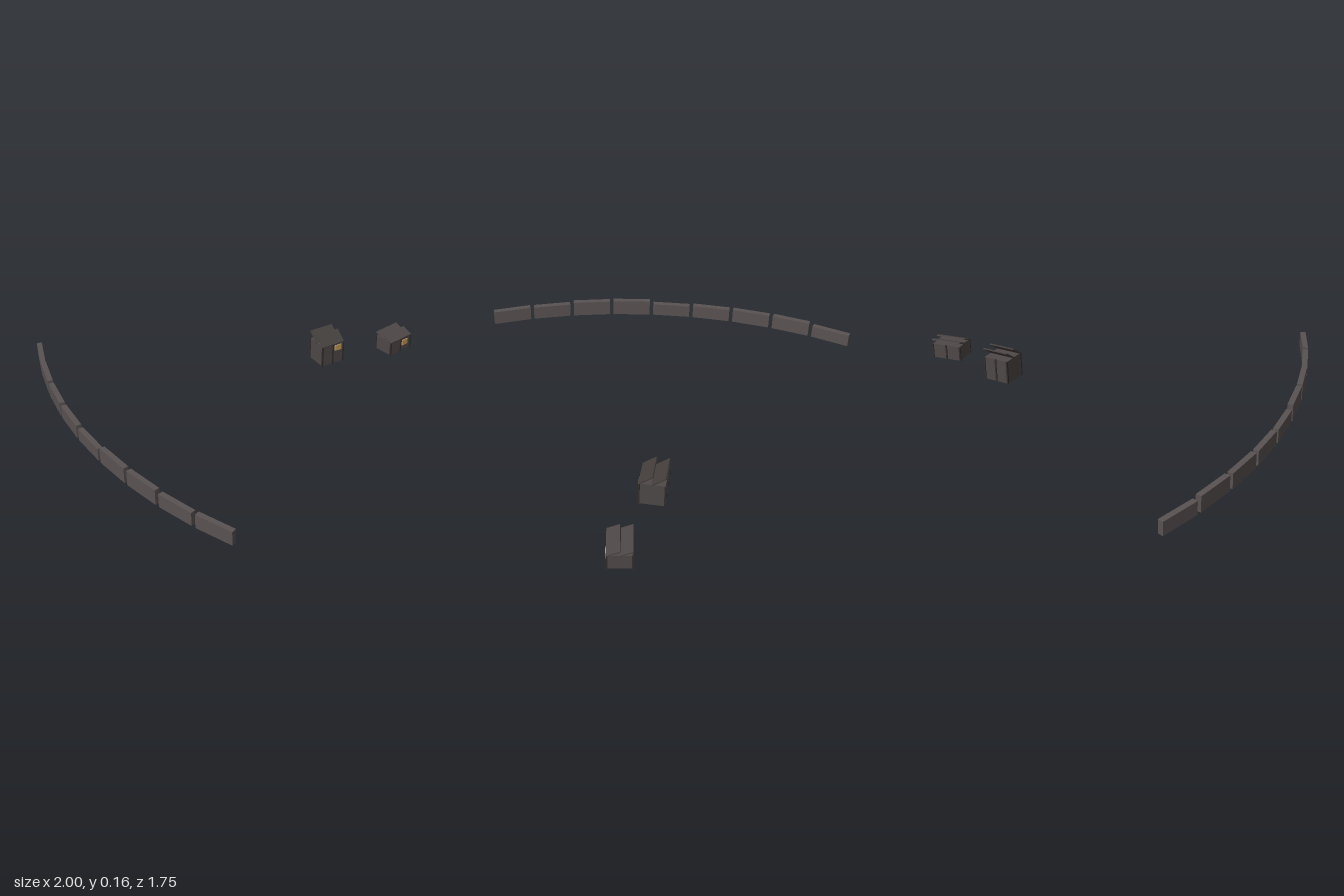
import * as THREE from 'three';

const paint = (name, color) => {
  const m = new THREE.MeshStandardMaterial({ color });
  m.name = name;
  return m;
};

export function createModel() {
  const model = new THREE.Group();
  model.name = 'settlement';

  const stone = paint('wall stone', 0x5a5253);
  const plaster = paint('house plaster', 0x4f4848);
  const roofDark = paint('dark roof', 0x45403d);
  const roofLight = paint('light roof', 0x4e4748);
  const timber = paint('timber', 0x332e2d);
  const glow = paint('lit window', 0xc0985a);

  const box = (parent, name, mat, size, pos) => {
    const mesh = new THREE.Mesh(new THREE.BoxGeometry(...size), mat);
    mesh.name = name;
    mesh.position.set(...pos);
    parent.add(mesh);
    return mesh;
  };

  // Curved boundary wall: nine straight blocks, five degrees apart on an arc
  const wall = new THREE.Group();
  wall.name = 'boundaryWall';
  model.add(wall);
  const radius = 2.486;
  [0.065, 0.076, 0.074, 0.072, 0.067, 0.083, 0.081, 0.072, 0.074].forEach((h, i) => {
    const t = THREE.MathUtils.degToRad(2.5 + i * 5);
    const block = box(wall, 'wallBlock', stone, [0.027, h, 0.197],
      [1.5 - radius * Math.cos(t), h / 2, -0.891 + radius * Math.sin(t)]);
    block.rotation.y = t;
  });

  // House: body, timber posts, window and two roof slabs in a sawtooth
  function house({ x, z, turn, w, d, eave, rise, roof, windowY }) {
    const g = new THREE.Group();
    g.name = 'house';
    g.position.set(x, 0, z);
    g.rotation.y = turn;
    model.add(g);

    box(g, 'houseBody', plaster, [w, eave, d], [0, eave / 2, 0]);

    // Posts at the corners and the middle of the front and back
    for (const sz of [-1, 1]) {
      for (const sx of [-1, 0, 1]) {
        box(g, 'post', timber, [0.008, eave, 0.008], [sx * w / 2, eave / 2, sz * d / 2]);
      }
    }

    box(g, 'window', glow, [0.04, 0.031, 0.006], [0.031, windowY, d / 2 + 0.003]);

    // Both slabs climb towards the back
    const length = Math.hypot(d / 2, rise) + 0.004;
    for (const s of [1, -1]) {
      const slab = box(g, 'roofSlab', roof, [w + 0.006, 0.007, length],
        [0, eave + rise / 2, s * d / 4]);
      slab.rotation.x = Math.atan2(rise, d / 2);
    }
  }

  house({ x: 0.513, z: -0.5, turn: 0.33, w: 0.13, d: 0.116,
    eave: 0.117, rise: 0.044, roof: roofDark, windowY: 0.092 });
  house({ x: 0.901, z: -0.54, turn: 0.49, w: 0.15, d: 0.108,
    eave: 0.075, rise: 0.023, roof: roofLight, windowY: 0.047 });

  return model;
}
